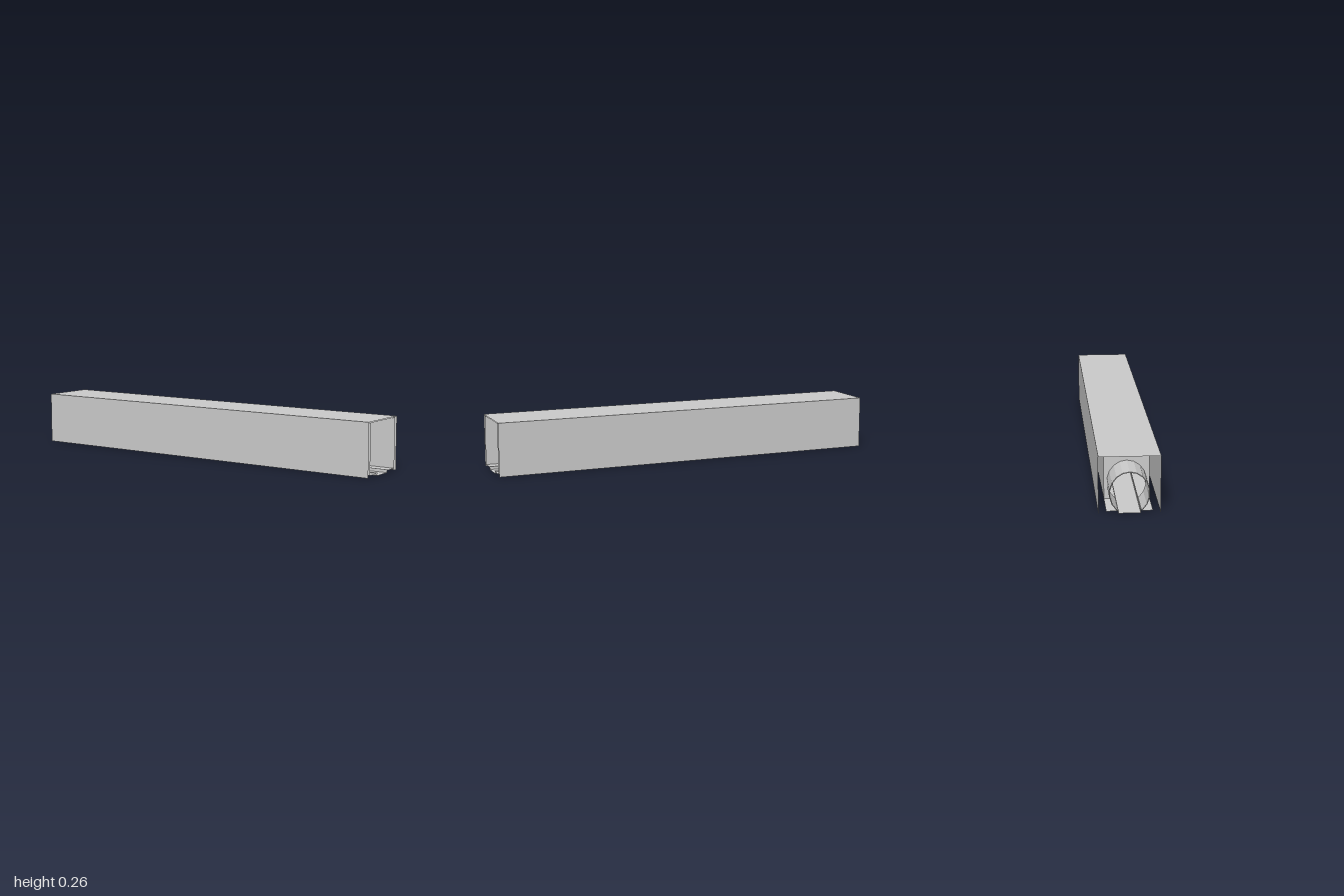
import * as THREE from 'three';

const FRONT = 1, WALL = -0.83, BACK = -1;   // z stations
const FLOOR = 0.011, CEIL = 0.26, TOP = 0.265;
const material = new THREE.MeshStandardMaterial({
  color: 0xcccccc, flatShading: true, side: THREE.DoubleSide,
});

export function createModel() {
  const group = new THREE.Group();

  const add = (name, geometry) => {
    const mesh = new THREE.Mesh(geometry, material);
    mesh.name = name;
    group.add(mesh);
    return mesh;
  };

  // Thin sheet swept through [z, [[x, y], ...]] sections
  const sheet = (name, sections) => {
    const pos = [];
    for (let s = 0; s < sections.length - 1; s++) {
      const [za, a] = sections[s], [zb, b] = sections[s + 1];
      for (let i = 0; i < a.length - 1; i++) {
        const p = [...a[i], za], q = [...a[i + 1], za];
        const r = [...b[i + 1], zb], t = [...b[i], zb];
        pos.push(...p, ...q, ...r, ...p, ...r, ...t);
      }
    }
    const geometry = new THREE.BufferGeometry();
    geometry.setAttribute('position', new THREE.Float32BufferAttribute(pos, 3));
    geometry.computeVertexNormals();
    return add(name, geometry);
  };

  // Outer cover: two sides and a top, open at both ends and below
  const cover = [[0.14, 0], [0.14, TOP], [-0.14, TOP], [-0.14, 0]];
  sheet('outerCover', [[FRONT, cover], [BACK, cover]]);

  // Inner lining: tapers from the open front to the end wall
  const lining = (w) => [[w, FLOOR], [w, CEIL], [-w, CEIL], [-w, FLOOR]];
  sheet('innerLining', [[FRONT, lining(0.122)], [WALL, lining(0.105)]]);

  // Floor with a shallow, lipped centre channel
  const floor = (w) => {
    const half = [[w, FLOOR], [0.053, FLOOR], [0.053, 0.015], [0.05, 0.015], [0.05, 0]];
    return [...half, ...half.map(([x, y]) => [-x, y]).reverse()];
  };
  sheet('floor', [[FRONT, floor(0.122)], [WALL, floor(0.105)], [BACK, floor(0.105)]]);

  // Oval arc of an 18-sided ring, open at the bottom
  const arc = (grow) => {
    const pts = [];
    for (let i = -7; i <= 7; i++) {
      const a = i * Math.PI / 9;
      pts.push(new THREE.Vector2(
        (0.0883 + grow) * Math.sin(a), Math.max(0.015, 0.0915 + (0.0985 + grow) * Math.cos(a))));
    }
    pts.unshift(new THREE.Vector2(-0.053, 0.013 - grow / 2));
    pts.push(new THREE.Vector2(0.053, 0.013 - grow / 2));
    return pts;
  };

  // End wall with the oval opening
  const wallShape = new THREE.Shape([
    new THREE.Vector2(0.053, FLOOR), new THREE.Vector2(0.105, FLOOR),
    new THREE.Vector2(0.105, CEIL), new THREE.Vector2(-0.105, CEIL),
    new THREE.Vector2(-0.105, FLOOR), new THREE.Vector2(-0.053, FLOOR),
    ...arc(0),
  ]);
  add('endWall', new THREE.ShapeGeometry(wallShape)).position.z = WALL;

  // Pipe from the end wall to the back
  const pipeShape = new THREE.Shape([...arc(0), ...arc(0.004).reverse()]);
  add('pipe', new THREE.ExtrudeGeometry(pipeShape, {
    depth: WALL - BACK, bevelEnabled: false,
  })).position.z = BACK;

  return group;
}
